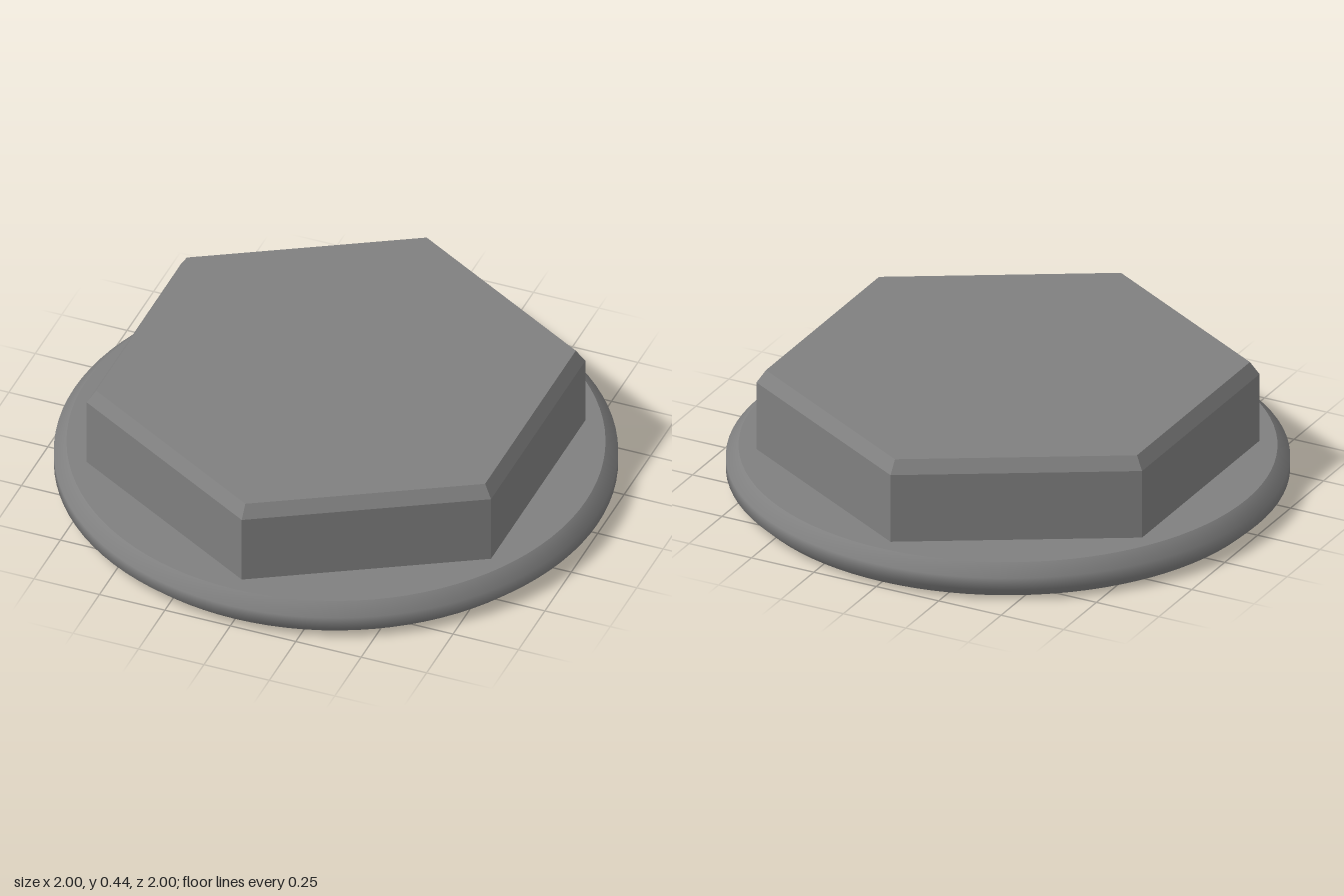
import * as THREE from 'three';

export function createModel() {
  const model = new THREE.Group();
  const steel = new THREE.MeshStandardMaterial({ color: 0x808080 });
  steel.name = 'grey steel';
  const steelFlat = steel.clone();
  steelFlat.flatShading = true;

  const add = (name, geometry, material, y = 0) => {
    const mesh = new THREE.Mesh(geometry, material);
    mesh.name = name;
    mesh.position.y = y;
    model.add(mesh);
    return mesh;
  };

  // Round flange: smooth bevelled rim closed by two flat discs
  const bevel = 0.955, thickness = 0.13;
  const rim = [[bevel, 0], [1, 0.042], [1, 0.088], [bevel, thickness]];
  add('flangeRim', new THREE.LatheGeometry(rim.map(p => new THREE.Vector2(...p)), 96), steel);
  add('flangeTop', new THREE.CircleGeometry(bevel, 96).rotateX(-Math.PI / 2), steel, thickness);
  add('flangeBottom', new THREE.CircleGeometry(bevel, 96).rotateX(Math.PI / 2), steel);

  // Hexagonal head with corners pointing to front and back
  const corner = 0.892, topCorner = 0.858, shoulder = 0.392, top = 0.44;
  add('hexBody', new THREE.CylinderGeometry(corner, corner, shoulder - thickness, 6, 1, true),
    steelFlat, (shoulder + thickness) / 2);
  add('hexChamfer', new THREE.CylinderGeometry(topCorner, corner, top - shoulder, 6),
    steelFlat, (top + shoulder) / 2);

  return model;
}
